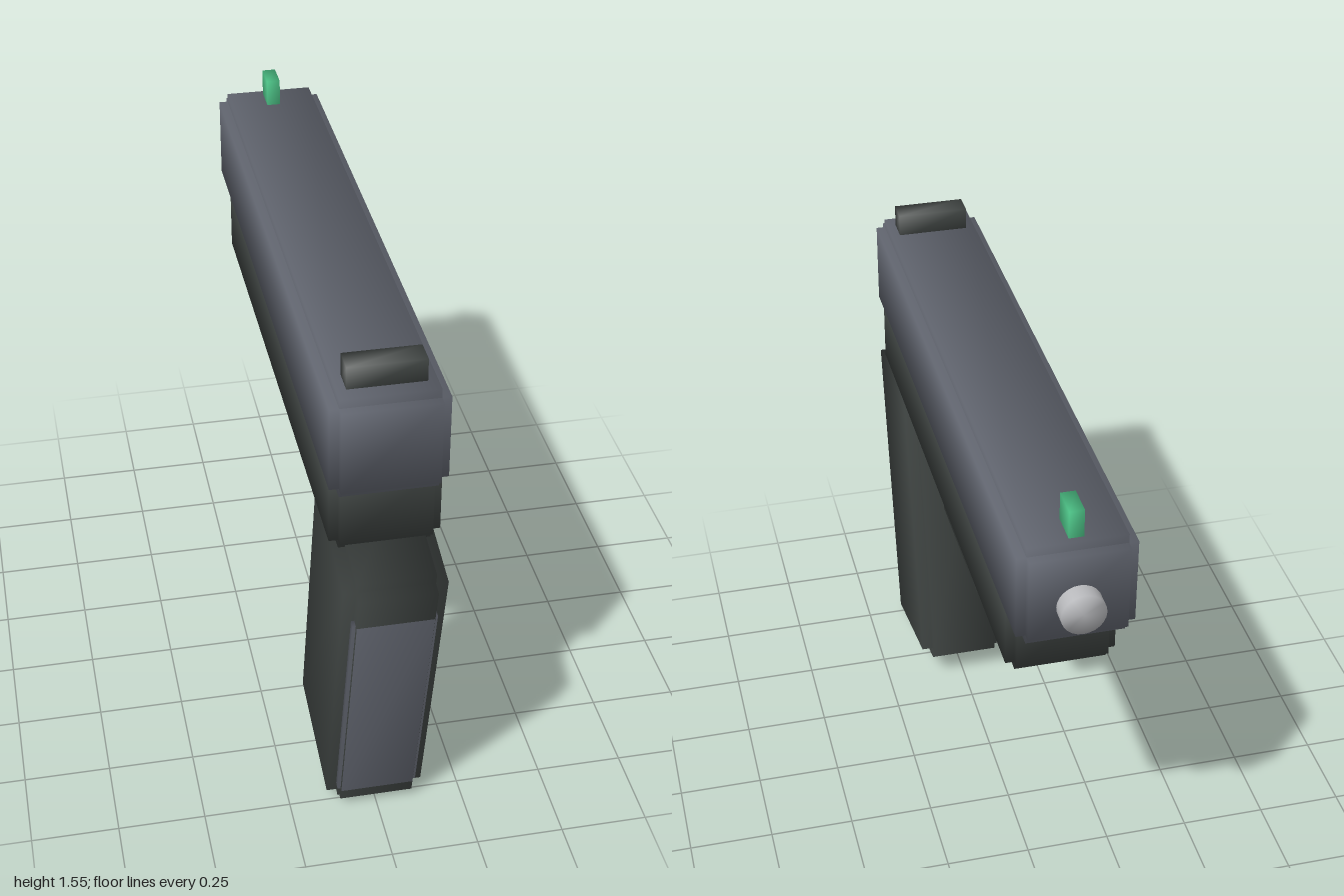
import * as THREE from 'three';
import { mergeVertices, mergeGeometries } from 'three/addons/utils/BufferGeometryUtils.js';

const material = (name, color) => {
  const m = new THREE.MeshStandardMaterial({ color });
  m.name = name;
  return m;
};

// Share corners so normals blend softly around the whole solid
function soften(geometry) {
  geometry.deleteAttribute('normal');
  geometry.deleteAttribute('uv');
  const merged = mergeVertices(geometry, 1e-4);
  merged.computeVertexNormals();
  return merged;
}

const softBox = (w, h, d) => soften(new THREE.BoxGeometry(w, h, d));

// Block with stepped edges: three crossing boxes, each full size along one axis
function steppedBox(w, h, d, step) {
  const s = step * 2;
  return mergeGeometries([
    softBox(w, h - s, d - s),
    softBox(w - s, h, d - s),
    softBox(w - s, h - s, d),
  ]);
}

function addPart(parent, name, geometry, mat, x, y, z) {
  const mesh = new THREE.Mesh(geometry, mat);
  mesh.name = name;
  mesh.position.set(x, y, z);
  parent.add(mesh);
  return mesh;
}

export function createModel() {
  const model = new THREE.Group();
  model.name = 'pistol';

  const steel = material('slate steel', 0x626670);
  const dark = material('dark polymer', 0x3e4341);
  const silver = material('bright metal', 0xb6b7ba);
  const green = material('sight green', 0x4fc78a);

  // Upper body
  addPart(model, 'slide', steppedBox(0.315, 0.297, 1.84, 0.026), steel, 0, 1.327, -0.035);
  addPart(model, 'frame', steppedBox(0.3, 0.25, 1.665, 0.025), dark, 0, 1.11, 0.0125);

  // Barrel end
  const barrel = addPart(model, 'barrel', soften(new THREE.CylinderGeometry(0.06, 0.06, 0.2, 24)), silver, 0, 1.3, -0.9);
  barrel.rotation.x = Math.PI / 2;

  // Sights
  addPart(model, 'rearSight', softBox(0.21, 0.08, 0.07), dark, 0, 1.5, 0.78);
  addPart(model, 'frontSight', softBox(0.04, 0.09, 0.086), green, 0, 1.51, -0.868);

  // Trigger guard block
  addPart(model, 'triggerGuard', steppedBox(0.12, 0.315, 0.485, 0.018), dark, 0, 0.833, 0.143);

  // Slanted grip with its back strap
  const grip = new THREE.Group();
  grip.name = 'gripAssembly';
  grip.position.set(0, 0.534, 0.669);
  grip.rotation.x = 0.235;
  addPart(grip, 'grip', steppedBox(0.28, 1.0, 0.452, 0.034), dark, 0, 0, 0);
  addPart(grip, 'backStrap', steppedBox(0.23, 0.8, 0.04, 0.01), steel, 0, -0.033, 0.208);
  model.add(grip);

  return model;
}
